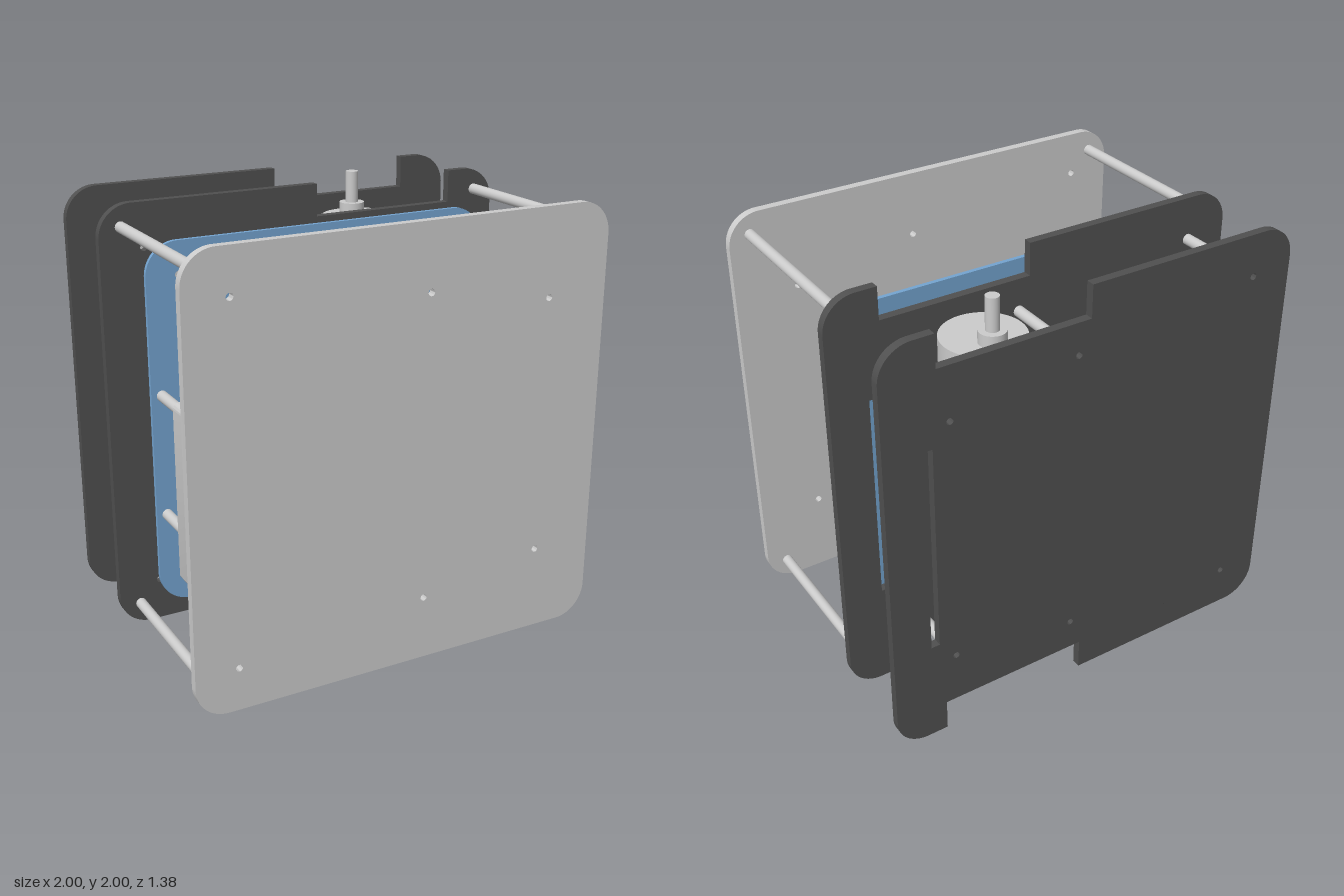
import * as THREE from 'three';
import { toCreasedNormals } from 'three/addons/utils/BufferGeometryUtils.js';

const mat = (color) => new THREE.MeshStandardMaterial({ color });

export function createModel() {
  const root = new THREE.Group();
  const grey = mat(0xcccccc), dark = mat(0x505050), blue = mat(0x74a4d0), teal = mat(0x8fcfcc);

  const add = (name, geometry, material, parent = root) => {
    const mesh = new THREE.Mesh(geometry, material);
    mesh.name = name;
    parent.add(mesh);
    return mesh;
  };

  // Rounded rectangle outline; notch = [x0, x1, depth] cut from top and bottom edges
  const outline = (x0, y0, x1, y1, r, notch) => {
    const s = new THREE.Shape();
    s.moveTo(x0 + r, y0);
    if (notch) {
      const [a, b, d] = notch;
      s.lineTo(a, y0); s.lineTo(a, y0 + d); s.lineTo(b, y0 + d); s.lineTo(b, y0);
    }
    s.lineTo(x1 - r, y0);
    s.absarc(x1 - r, y0 + r, r, -Math.PI / 2, 0);
    s.lineTo(x1, y1 - r);
    s.absarc(x1 - r, y1 - r, r, 0, Math.PI / 2);
    if (notch) {
      const [a, b, d] = notch;
      s.lineTo(b, y1); s.lineTo(b, y1 - d); s.lineTo(a, y1 - d); s.lineTo(a, y1);
    }
    s.lineTo(x0 + r, y1);
    s.absarc(x0 + r, y1 - r, r, Math.PI / 2, Math.PI);
    s.lineTo(x0, y0 + r);
    s.absarc(x0 + r, y0 + r, r, Math.PI, Math.PI * 1.5);
    return s;
  };

  const drill = (shape, points, r = 0.016) => {
    for (const [x, y] of points) {
      shape.holes.push(new THREE.Path().absarc(x, y, r, 0, Math.PI * 2, true));
    }
    return shape;
  };

  // Flat panel between two z positions
  const panel = (name, shape, z0, z1, material) => {
    const g = new THREE.ExtrudeGeometry(shape, { depth: z1 - z0, bevelEnabled: false, curveSegments: 16 });
    g.translate(0, 0, z0);
    return add(name, toCreasedNormals(g, 0.6), material);
  };

  // Round posts along z
  const posts = (name, points, z0, z1, r = 0.025) => {
    const g = new THREE.CylinderGeometry(r, r, z1 - z0, 24).rotateX(Math.PI / 2);
    for (const [x, y] of points) add(name, g, grey).position.set(x, y, (z0 + z1) / 2);
  };

  const motorPosts = [[-0.8, 0.2], [-0.8, 1.8], [0.1, 0.3], [0.1, 1.7], [0.7, 0.4], [0.7, 1.6]];
  const corners = [[-0.9, 0.1], [0.9, 0.1], [-0.9, 1.9], [0.9, 1.9]];
  const boardPosts = [[-0.7, 0.3], [0.7, 0.3], [-0.7, 1.7], [0.7, 1.7]];

  // Front cover
  panel('frontPlate', drill(outline(-1, 0, 1, 2, 0.15), motorPosts), 0.65, 0.69, grey);

  // Chassis plates with wheel notches and a side slot
  for (const [name, z] of [['middlePlate', -0.25], ['backPlate', -0.69]]) {
    const s = drill(outline(-1, 0, 1, 2, 0.15, [0.045, 0.755, 0.15]), motorPosts);
    s.holes.push(new THREE.Path([[0.78, 0.5], [0.78, 1.5], [0.82, 1.5], [0.82, 0.5]]
      .map(([x, y]) => new THREE.Vector2(x, y))));
    panel(name, s, z, z + 0.04, dark);
  }

  // Mounting board
  panel('mountingBoard', drill(outline(-0.85, 0.15, 0.85, 1.85, 0.15), boardPosts), -0.09, -0.07, blue);

  // Spacers
  posts('chassisSpacer', motorPosts, -0.65, -0.25);
  posts('cornerSpacer', corners, -0.21, 0.65);
  posts('boardSpacer', boardPosts, -0.21, -0.09);
  posts('controllerSpacer', [[0.68, 0.73], [0.68, 1.285], [-0.02, 0.81], [-0.02, 1.21]], -0.07, 0.28);

  // Computer module on four posts
  posts('computerSpacer', [[-0.8, 0.595], [-0.31, 0.595], [-0.8, 1.165], [-0.31, 1.165]], -0.07, 0.13);
  panel('computerModule', outline(-0.83, 0.36, -0.28, 1.2, 0.03), 0.13, 0.25, grey);

  // Battery holder with four cells
  add('batteryHolder', new THREE.BoxGeometry(0.8, 0.8, 0.015), teal).position.set(-0.45, 1, -0.6425);
  const cell = new THREE.CylinderGeometry(0.088, 0.088, 0.65, 40).rotateZ(Math.PI / 2);
  for (let i = 0; i < 4; i++) add('batteryCell', cell, teal).position.set(-0.45, 0.7 + i * 0.2, -0.55);

  // Gear motors, one pointing up and one pointing down
  for (const dir of [1, -1]) {
    const motor = new THREE.Group();
    motor.name = dir > 0 ? 'upperMotor' : 'lowerMotor';
    motor.position.set(0.4, 1, -0.45);
    if (dir < 0) motor.rotation.z = Math.PI;
    root.add(motor);
    const parts = [
      ['motorBody', 0.173, 0.225, 0.54, 0],
      ['motorFlange', 0.185, 0.535, 0.58, 0],
      ['gearbox', 0.183, 0.58, 0.775, 0],
      ['shaftBoss', 0.06, 0.775, 0.83, -0.07],
      ['outputShaft', 0.03, 0.83, 0.98, -0.07],
    ];
    for (const [name, r, y0, y1, z] of parts) {
      add(name, new THREE.CylinderGeometry(r, r, y1 - y0, 48), grey, motor).position.set(0, (y0 + y1) / 2, z);
    }
  }

  return root;
}
